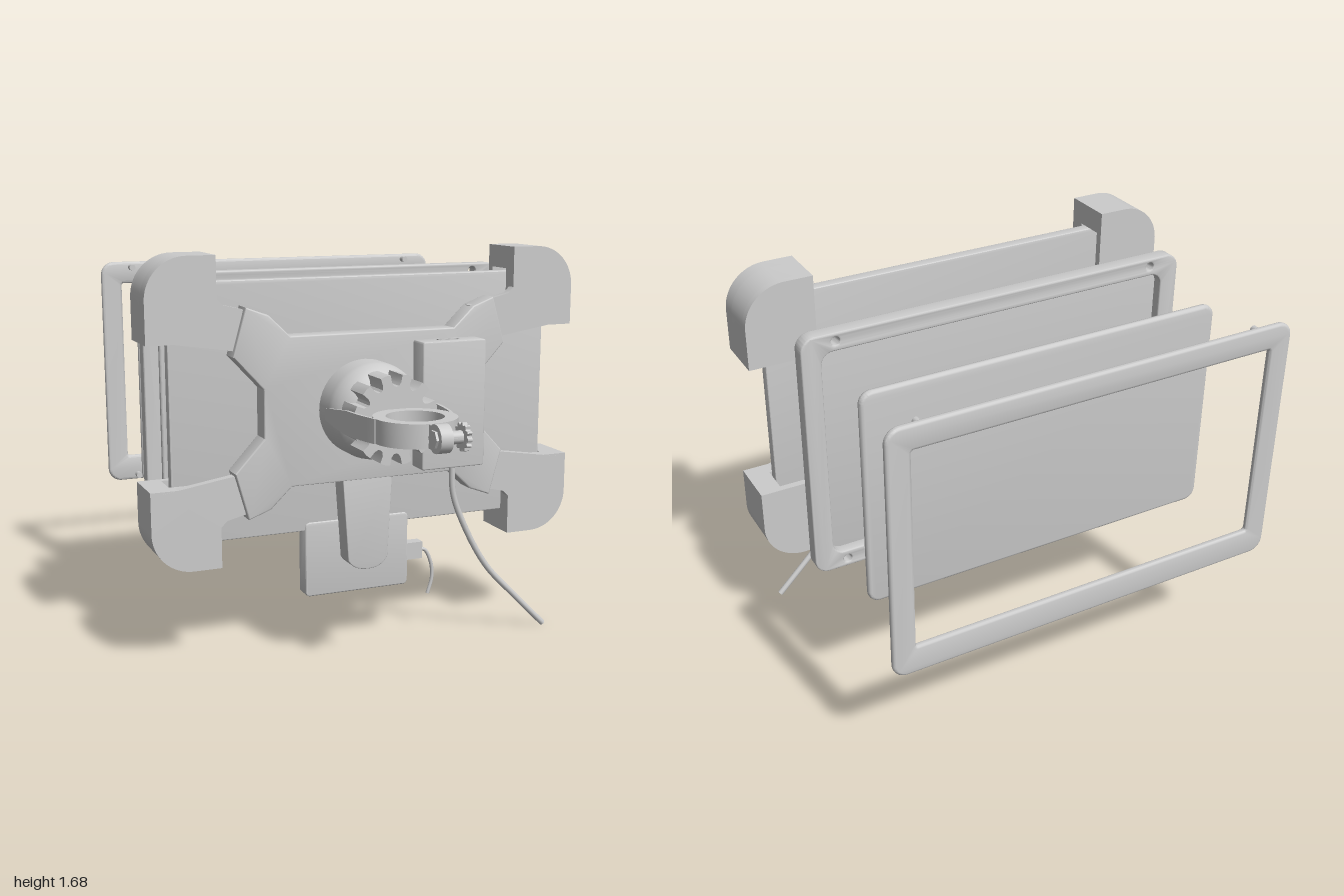
import * as THREE from 'three';
import { toCreasedNormals } from 'three/addons/utils/BufferGeometryUtils.js';

const CY = 1.06; // height of the centre line shared by all layers

export function createModel() {
  const model = new THREE.Group();
  const mat = new THREE.MeshStandardMaterial({ color: 0xcccccc, side: THREE.DoubleSide });

  const add = (name, geo, x = 0, y = 0, z = 0) => {
    const mesh = new THREE.Mesh(geo, mat);
    mesh.name = name;
    mesh.position.set(x, y, z);
    model.add(mesh);
    return mesh;
  };

  // rectangle with rounded corners, from x0,y0 to x1,y1
  const roundRect = (x0, y0, x1, y1, r, Type = THREE.Shape) => {
    const s = new Type();
    s.absarc(x1 - r, y1 - r, r, 0, Math.PI / 2);
    s.absarc(x0 + r, y1 - r, r, Math.PI / 2, Math.PI);
    s.absarc(x0 + r, y0 + r, r, Math.PI, Math.PI * 1.5);
    s.absarc(x1 - r, y0 + r, r, Math.PI * 1.5, Math.PI * 2);
    s.closePath();
    return s;
  };
  const polygon = pts => new THREE.Shape(pts.map(p => new THREE.Vector2(...p)));

  // extrude a front outline between two depths, with an optional soft edge
  const slabGeo = (shape, z0, z1, bevel = 0) => {
    const geo = new THREE.ExtrudeGeometry(shape, {
      depth: z1 - z0 - 2 * bevel, curveSegments: 10, bevelEnabled: bevel > 0,
      bevelThickness: bevel, bevelSize: bevel, bevelOffset: -bevel, bevelSegments: 3,
    });
    geo.translate(0, 0, z0 + bevel);
    return toCreasedNormals(geo, 0.6);
  };
  const slab = (name, shape, z0, z1, bevel) => add(name, slabGeo(shape, z0, z1, bevel));

  const circleHole = (x, y, r) => new THREE.Path().absarc(x, y, r, 0, Math.PI * 2);

  // bezel frame with locating pegs
  const bezel = roundRect(-0.845, 0.535, 0.845, 1.585, 0.06);
  bezel.holes.push(roundRect(-0.75, 0.655, 0.75, 1.485, 0.01, THREE.Path));
  slab('bezelFrame', bezel, -1, -0.972, 0.012);
  for (const x of [-0.705, 0.705]) for (const y of [0.56, 1.56]) {
    const peg = new THREE.CylinderGeometry(0.014, 0.014, 0.04, 16).rotateX(Math.PI / 2);
    add('bezelPeg', peg, x, y, -0.96);
  }

  // tablet
  slab('tablet', roundRect(-0.77, 0.6, 0.77, 1.52, 0.05), -0.635, -0.603, 0.013);

  // tray: rim with recess and peg holes, and a raised floor
  const rim = roundRect(-0.845, 0.53, 0.845, 1.59, 0.06);
  rim.holes.push(roundRect(-0.765, 0.605, 0.765, 1.515, 0.05, THREE.Path));
  for (const x of [-0.705, 0.705]) for (const y of [0.565, 1.555]) rim.holes.push(circleHole(x, y, 0.018));
  slab('trayRim', rim, -0.282, -0.22, 0.006);
  slab('trayFloor', roundRect(-0.78, 0.595, 0.78, 1.525, 0.05), -0.24, -0.2, 0.008);

  // back plate
  slab('backPlate', roundRect(-0.845, 0.525, 0.845, 1.585, 0.02), 0.125, 0.172, 0.004);

  // corner grips and the arms joining them to the bracket, mirrored four ways
  const place = (geo, name, sx, sy) => {
    const mesh = add(name, geo, 0, CY, 0);
    mesh.scale.set(sx, sy, 1);
  };
  const pad = new THREE.Shape();
  pad.moveTo(0.66, 0.29);
  pad.lineTo(0.948, 0.29);
  pad.lineTo(0.948, 0.46);
  pad.absarc(0.778, 0.46, 0.17, 0, Math.PI / 2);
  pad.lineTo(0.66, 0.63);
  pad.closePath();
  const wall = new THREE.Shape();
  wall.moveTo(0.855, 0.29);
  wall.lineTo(0.948, 0.29);
  wall.lineTo(0.948, 0.46);
  wall.absarc(0.778, 0.46, 0.17, 0, Math.PI / 2);
  wall.lineTo(0.66, 0.63);
  wall.lineTo(0.66, 0.535);
  wall.lineTo(0.855, 0.535);
  wall.closePath();
  const gripParts = {
    gripFront: slabGeo(pad, 0.172, 0.237),
    gripWall: slabGeo(wall, 0.05, 0.172),
    gripLip: slabGeo(pad, 0.02, 0.05),
    gripArm: slabGeo(polygon([[0.9, 0.3], [0.66, 0.46], [0.635, 0.435], [0.45, 0.39], [0.58, 0.25]]), 0.2, 0.238),
  };
  for (const sx of [1, -1]) for (const sy of [1, -1])
    for (const [name, geo] of Object.entries(gripParts)) place(geo, name, sx, sy);

  // X-shaped bracket, one quarter mirrored into a full outline
  const quarter = [[0.48, 0.1], [0.605, 0.235], [0.55, 0.43], [0.455, 0.395], [0.365, 0.308]];
  const flip = (pts, sx, sy) => pts.map(([x, y]) => [x * sx, CY - 0.005 + y * sy]);
  slab('bracket', polygon([
    ...flip(quarter, 1, 1), ...flip([...quarter].reverse(), -1, 1),
    ...flip(quarter, -1, -1), ...flip([...quarter].reverse(), 1, -1),
  ]), 0.17, 0.264, 0.006);

  // lower module with its tongue, plug and short lead
  slab('lowerModule', roundRect(-0.275, 0.235, 0.2, 0.56, 0.02), 0.1, 0.176, 0.005);
  const tongue = new THREE.Shape();
  tongue.moveTo(0.085, 0.76);
  tongue.lineTo(-0.14, 0.76);
  tongue.lineTo(-0.115, 0.4);
  tongue.quadraticCurveTo(-0.09, 0.355, -0.025, 0.355);
  tongue.quadraticCurveTo(0.04, 0.355, 0.065, 0.4);
  tongue.closePath();
  slab('tongue', tongue, 0.17, 0.262, 0.004);
  add('plug', new THREE.BoxGeometry(0.075, 0.075, 0.05), 0.235, 0.38, 0.15);
  const tube = (name, pts, r) => {
    const curve = new THREE.CatmullRomCurve3(pts.map(p => new THREE.Vector3(...p)));
    add(name, new THREE.TubeGeometry(curve, 48, r, 10));
    for (const [t, s] of [[0, -1], [1, 1]]) {
      const cap = add(name + 'End', new THREE.CircleGeometry(r, 10));
      cap.position.copy(curve.getPoint(t));
      cap.lookAt(cap.position.clone().addScaledVector(curve.getTangent(t), s));
    }
  };
  tube('shortLead', [[0.27, 0.38, 0.155], [0.295, 0.372, 0.155], [0.325, 0.31, 0.155],
    [0.33, 0.24, 0.155], [0.31, 0.17, 0.155]], 0.008);

  // control box with a socket on top, and its long cable
  const box = roundRect(0.175, 0.785, 0.465, 1.322, 0.01);
  slab('controlBox', box, 0.264, 0.362, 0.006);
  const socket = new THREE.Shape(roundRect(-0.05, -0.015, 0.05, 0.015, 0.008).getPoints(6));
  socket.holes.push(roundRect(-0.043, -0.009, 0.043, 0.009, 0.005, THREE.Path));
  add('socket', slabGeo(socket, 0, 0.004).rotateX(-Math.PI / 2), 0.315, 1.321, 0.31);
  tube('longCable', [[0.34, 0.79, 0.312], [0.348, 0.66, 0.312], [0.405, 0.51, 0.312],
    [0.515, 0.32, 0.312], [0.66, 0.165, 0.312], [0.81, 0.014, 0.312]], 0.013);

  // domed ball mount
  const BX = -0.045, BY = 1.055;
  const dome = [[0, 0.26], [0.2, 0.26], [0.2, 0.36], [0.196, 0.385], [0.184, 0.412],
    [0.165, 0.438], [0.14, 0.455], [0.11, 0.465], [0, 0.465]].map(p => new THREE.Vector2(...p));
  const domeGeo = new THREE.LatheGeometry(dome, 48).rotateX(Math.PI / 2);
  add('ballDome', toCreasedNormals(domeGeo, 0.6), BX, BY, 0);

  // scalloped locking nut
  const nutPts = [];
  const TEETH = 12;
  for (let i = 0; i < TEETH; i++) {
    const a = (i / TEETH) * Math.PI * 2, step = Math.PI * 2 / TEETH;
    for (const [f, r] of [[-0.27, 0.18], [-0.25, 0.15], [-0.15, 0.136], [0, 0.132],
      [0.15, 0.136], [0.25, 0.15], [0.27, 0.18], [0.5, 0.182]])
      nutPts.push([r * Math.cos(a + f * step), r * Math.sin(a + f * step)]);
  }
  add('lockingNut', slabGeo(polygon(nutPts), 0.45, 0.576), BX, BY, 0);

  // clamp ring
  const ring = new THREE.Shape().absarc(0, 0, 0.163, 0, Math.PI * 2);
  ring.holes.push(circleHole(0, 0, 0.112));
  const ringGeo = new THREE.ExtrudeGeometry(ring, { depth: 0.095, curveSegments: 32, bevelEnabled: false });
  ringGeo.rotateX(-Math.PI / 2);
  add('clampRing', toCreasedNormals(ringGeo, 0.6), -0.04, 1.005, 0.733);

  // side straps from dome to ring: bent plates, narrower towards the dome
  for (const s of [1, -1]) {
    const strap = new THREE.BoxGeometry(0.012, 1, 1, 1, 1, 16);
    const p = strap.attributes.position;
    for (let i = 0; i < p.count; i++) {
      const t = p.getZ(i) + 0.5;
      const half = 0.024 + 0.024 * Math.min(1, t / 0.5);
      p.setXYZ(i, s * (0.2 - 0.04 * t ** 3) + p.getX(i), Math.sign(p.getY(i)) * half, 0.33 + 0.4 * t);
    }
    strap.computeVertexNormals();
    add('sideStrap', strap, -0.041, 1.052, 0);
  }

  // clamp bolt: lugs, shaft and knurled knob
  const axle = (name, r, x0, x1, sides) => add(name,
    toCreasedNormals(new THREE.CylinderGeometry(r, r, x1 - x0, sides).rotateZ(Math.PI / 2), 0.4),
    (x0 + x1) / 2, 1.053, 0.944);
  axle('boltLug', 0.055, -0.062, -0.012, 32);
  axle('boltHead', 0.035, -0.072, -0.06, 6);
  axle('boltShaft', 0.025, -0.015, 0.05, 24);
  const knob = [];
  for (let i = 0; i < 48; i++) {
    const a = (i / 48) * Math.PI * 2, r = i % 4 < 2 ? 0.055 : 0.046;
    knob.push([r * Math.cos(a), r * Math.sin(a)]);
  }
  add('boltKnob', slabGeo(polygon(knob), 0, 0.02).rotateY(Math.PI / 2), 0.045, 1.053, 0.944);
  add('lugNeck', new THREE.BoxGeometry(0.05, 0.09, 0.06), -0.037, 1.053, 0.905);

  return model;
}
